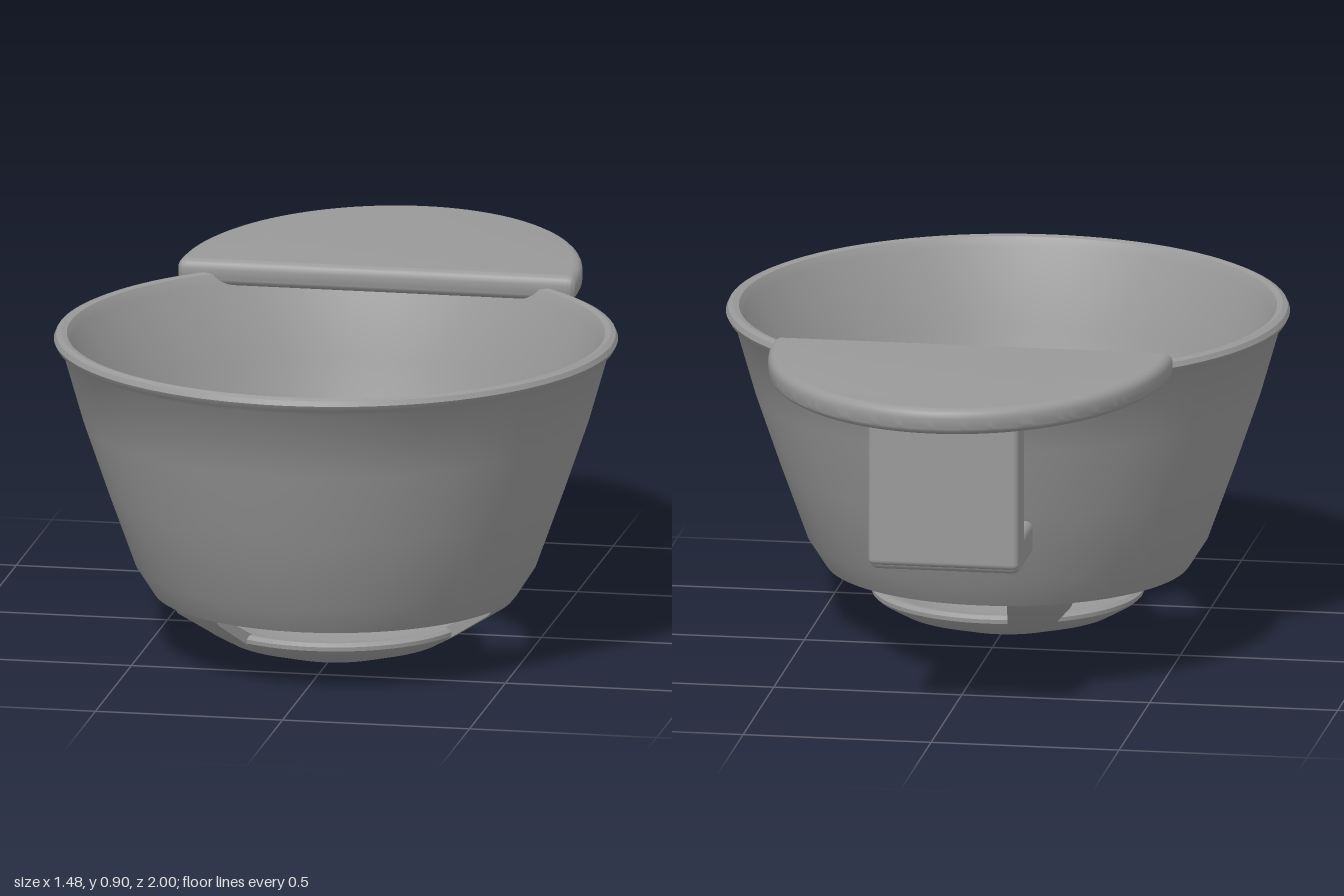
import * as THREE from 'three';
import { toCreasedNormals } from 'three/addons/utils/BufferGeometryUtils.js';
import { RoundedBoxGeometry } from 'three/addons/geometries/RoundedBoxGeometry.js';

const BOWL_Z = 0.255;
const rad = THREE.MathUtils.degToRad;
const points = (list) => list.map(([x, y]) => new THREE.Vector2(x, y));

export function createModel() {
  const model = new THREE.Group();
  model.name = 'hangingBowl';
  const grey = new THREE.MeshStandardMaterial({ color: 0x999999 });
  grey.name = 'plain grey';

  const add = (parent, name, geometry, x = 0, y = 0, z = 0) => {
    const mesh = new THREE.Mesh(geometry, grey);
    mesh.name = name;
    mesh.position.set(x, y, z);
    parent.add(mesh);
    return mesh;
  };
  // Closed profile (outside upwards, inside downwards) turned about the y axis
  const turned = (profile, segments = 96, start = 0, length = Math.PI * 2) =>
    toCreasedNormals(new THREE.LatheGeometry(points(profile), segments, start, length), 0.6);

  const bowl = new THREE.Group();
  bowl.name = 'bowl';
  bowl.position.z = BOWL_Z;
  model.add(bowl);

  // Wall with a beaded rim and an open bottom
  add(bowl, 'bowlWall', turned([
    [0.45, 0.175], [0.48, 0.175], [0.528, 0.25], [0.6, 0.45], [0.665, 0.64], [0.718, 0.825],
    [0.733, 0.838], [0.741, 0.853], [0.735, 0.866], [0.722, 0.872], [0.707, 0.868],
    [0.693, 0.845], [0.636, 0.64], [0.571, 0.45], [0.499, 0.26], [0.45, 0.175],
  ]));

  // Dished floor plate
  add(bowl, 'floorPlate', turned([
    [0, 0.003], [0.09, 0.006], [0.17, 0.017], [0.29, 0.052], [0.345, 0.083], [0.357, 0.094],
    [0.358, 0.105], [0.348, 0.114], [0.333, 0.114], [0.27, 0.085], [0.16, 0.052], [0.08, 0.042], [0, 0.04],
  ]));

  // Three struts join the floor to the wall, leaving curved slots between them
  const strutProfile = [[0.325, 0.072], [0.345, 0.083], [0.47, 0.163], [0.483, 0.18], [0.453, 0.18], [0.325, 0.108]];
  const closed = [...strutProfile, strutProfile[0]];
  const mirrored = strutProfile.map(([r, y]) => [-r, y]);
  const span = rad(21);
  for (let i = 0; i < 3; i++) {
    const start = rad(69 + 120 * i);
    const strut = new THREE.Group();
    strut.name = 'strut' + (i + 1);
    bowl.add(strut);
    add(strut, 'strutBody', turned(closed, 8, start, span));
    add(strut, 'strutStartFace', new THREE.ShapeGeometry(new THREE.Shape(points(strutProfile))))
      .rotation.y = start - Math.PI / 2;
    add(strut, 'strutEndFace', new THREE.ShapeGeometry(new THREE.Shape(points(mirrored))))
      .rotation.y = start + span + Math.PI / 2;
  }

  // Half-oval shelf with rounded edges, drawn in plan and laid flat
  const plan = new THREE.Shape();
  plan.moveTo(-0.51, 0.3);
  plan.lineTo(0.51, 0.3);
  plan.quadraticCurveTo(0.532, 0.3, 0.532, 0.325);
  plan.absellipse(0, 0.325, 0.532, 0.675, 0, Math.PI, false);
  plan.quadraticCurveTo(-0.532, 0.3, -0.51, 0.3);
  const shelf = new THREE.ExtrudeGeometry(plan, {
    depth: 0.02, curveSegments: 48, bevelEnabled: true,
    bevelThickness: 0.025, bevelSize: 0.025, bevelOffset: -0.025, bevelSegments: 5,
  });
  shelf.rotateX(-Math.PI / 2);
  add(model, 'shelf', toCreasedNormals(shelf, 0.6), 0, 0.86, 0);

  // Hook hanging under the shelf, with its foot turned towards the bowl
  add(model, 'hookPlate', new RoundedBoxGeometry(0.4, 0.44, 0.115, 3, 0.015), 0, 0.645, -0.75);
  add(model, 'hookFoot', new RoundedBoxGeometry(0.4, 0.09, 0.24, 3, 0.02), 0, 0.455, -0.67);

  return model;
}
